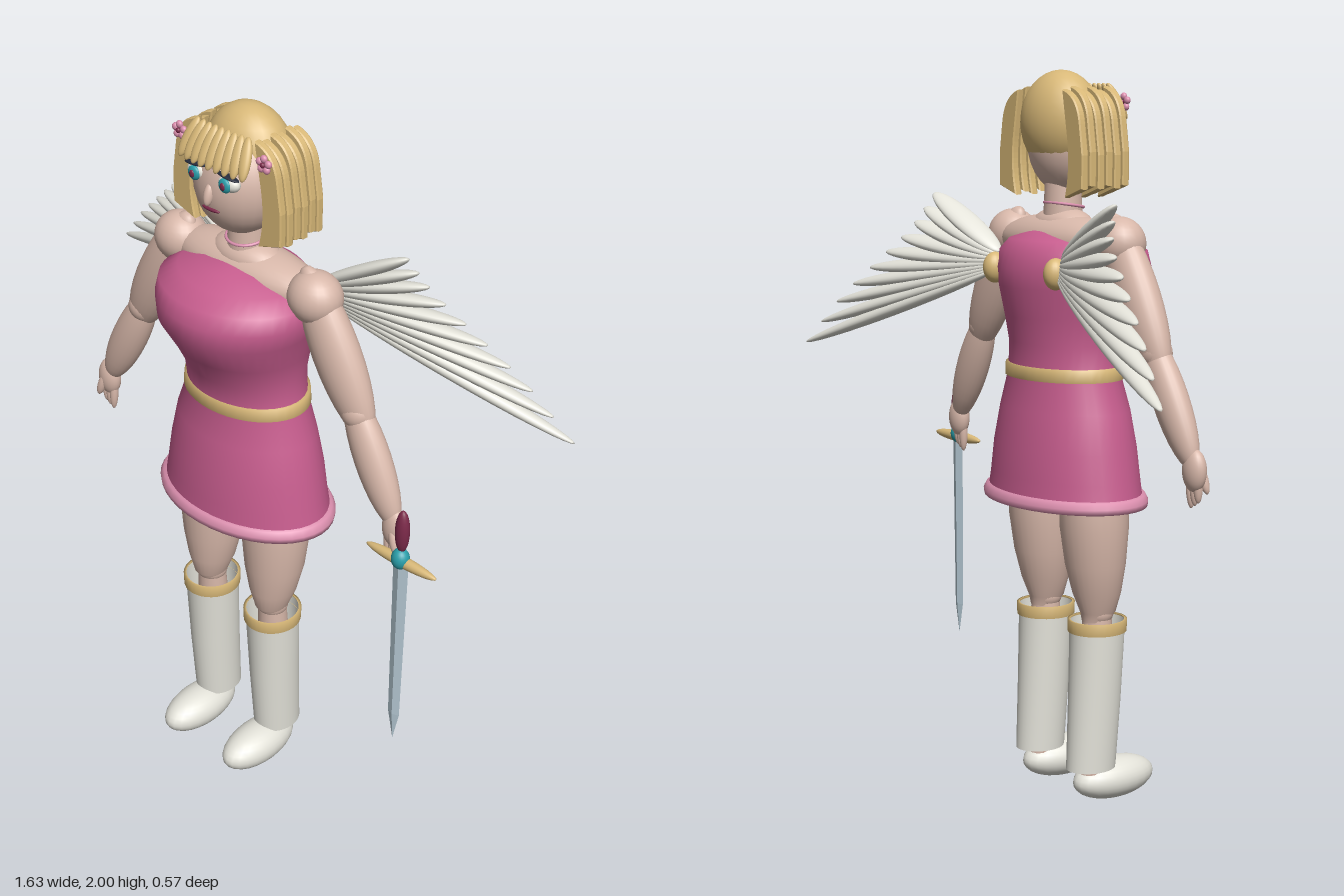
import * as THREE from 'three';

const mat = (name, color) => {
  const m = new THREE.MeshStandardMaterial({ color });
  m.name = name;
  return m;
};

export function createModel() {
  const skin = mat('skin', 0xd8b8aa), dressPink = mat('dress pink', 0xc75d8e);
  const palePink = mat('pale pink', 0xdb8fae), gold = mat('gold', 0xd8b878);
  const white = mat('white', 0xe3e2d9), teal = mat('teal', 0x2a9faa);
  const maroon = mat('maroon', 0x7c2a4a), steel = mat('steel', 0xb9cdd8);
  const dark = mat('dark', 0x252b3c);
  dressPink.side = white.side = gold.side = palePink.side = THREE.DoubleSide;

  const model = new THREE.Group();
  model.name = 'wingedWarrior';
  const ball = new THREE.SphereGeometry(1, 24, 16);

  const add = (name, geo, material, pos = [0, 0, 0]) => {
    const m = new THREE.Mesh(geo, material);
    m.name = name;
    m.position.set(...pos);
    model.add(m);
    return m;
  };
  const ellipsoid = (name, material, pos, radii) => {
    const m = add(name, ball, material, pos);
    m.scale.set(...radii);
    return m;
  };
  // Ellipsoid stretched from a to b; "side" is the direction of its width
  const stretch = (name, material, a, b, width, depth = width, side = [0, 0, 1]) => {
    const A = new THREE.Vector3(...a), B = new THREE.Vector3(...b);
    const Y = B.clone().sub(A), len = Y.length();
    Y.normalize();
    const X = new THREE.Vector3(...side);
    X.addScaledVector(Y, -X.dot(Y)).normalize();
    const Z = new THREE.Vector3().crossVectors(X, Y);
    const m = ellipsoid(name, material, A.add(B).multiplyScalar(0.5).toArray(), [width, len / 2, depth]);
    m.quaternion.setFromRotationMatrix(new THREE.Matrix4().makeBasis(X, Y, Z));
    return m;
  };
  // Elliptical rings, bottom to top: [y, half width, front z, back z, centre x]
  const loft = (rings, n = 40) => {
    const p = [], idx = [];
    rings.forEach(([y, rx, zf, zb, cx = 0], r) => {
      for (let i = 0; i < n; i++) {
        const a = (i / n) * Math.PI * 2;
        p.push(cx + rx * Math.sin(a), y, (zf + zb) / 2 + (zf - zb) / 2 * Math.cos(a));
        if (r) {
          const j = (i + 1) % n, k = (r - 1) * n, l = r * n;
          idx.push(k + i, k + j, l + j, k + i, l + j, l + i);
        }
      }
    });
    const g = new THREE.BufferGeometry();
    g.setAttribute('position', new THREE.Float32BufferAttribute(p, 3));
    g.setIndex(idx);
    g.computeVertexNormals();
    return g;
  };

  // Dress, hem and belt
  add('dress', loft([
    [0.86, 0.262, 0.228, -0.125], [0.92, 0.25, 0.224, -0.12], [1.0, 0.237, 0.218, -0.115],
    [1.1, 0.215, 0.203, -0.1], [1.2, 0.18, 0.182, -0.084], [1.28, 0.176, 0.198, -0.087],
    [1.35, 0.19, 0.235, -0.1], [1.43, 0.215, 0.283, -0.115], [1.48, 0.23, 0.278, -0.117],
    [1.525, 0.222, 0.265, -0.106], [1.555, 0.18, 0.215, -0.085], [1.58, 0.1, 0.17, -0.04],
    [1.59, 0.001, 0.09, 0.088]]), dressPink);
  add('hem', loft([[0.845, 0.255, 0.222, -0.118], [0.845, 0.276, 0.24, -0.136], [0.86, 0.278, 0.242, -0.138],
    [0.876, 0.268, 0.234, -0.13], [0.88, 0.25, 0.22, -0.118]]), palePink);
  add('belt', loft([[1.185, 0.18, 0.182, -0.082], [1.185, 0.19, 0.192, -0.093],
    [1.22, 0.186, 0.192, -0.093], [1.22, 0.17, 0.18, -0.08]]), gold);

  // Shoulders, neck and choker
  ellipsoid('upperChest', skin, [0, 1.55, 0.04], [0.25, 0.072, 0.09]);
  ellipsoid('neckBase', skin, [0, 1.59, 0.045], [0.11, 0.05, 0.065]);
  add('neck', new THREE.CylinderGeometry(0.048, 0.055, 0.16, 24), skin, [0, 1.65, 0.045]);
  const choker = add('choker', new THREE.TorusGeometry(0.053, 0.004, 8, 32), palePink, [0, 1.645, 0.048]);
  choker.rotation.x = Math.PI / 2 + 0.15;
  ellipsoid('hips', skin, [0, 0.9, 0.055], [0.2, 0.09, 0.12]);

  // Head and face
  ellipsoid('head', skin, [0, 1.81, 0.07], [0.122, 0.142, 0.114]);
  stretch('nose', skin, [0, 1.835, 0.172], [0, 1.775, 0.19], 0.013, 0.014, [1, 0, 0]);
  ellipsoid('mouth', maroon, [0, 1.762, 0.174], [0.03, 0.006, 0.008]);
  for (const s of [-1, 1]) {
    ellipsoid('eye', white, [s * 0.052, 1.845, 0.163], [0.034, 0.022, 0.02]);
    ellipsoid('iris', teal, [s * 0.052, 1.844, 0.179], [0.019, 0.019, 0.009]);
    ellipsoid('pupil', maroon, [s * 0.052, 1.844, 0.187], [0.008, 0.01, 0.004]);
    const lash = ellipsoid('lash', dark, [s * 0.054, 1.866, 0.17], [0.037, 0.005, 0.012]);
    lash.rotation.z = -s * 0.1;
  }

  // Hair: dome, fringe and side locks
  ellipsoid('hairDome', gold, [0, 1.863, 0.038], [0.126, 0.137, 0.098]);
  for (let i = -4; i <= 4; i++) {
    const x = i * 0.0245;
    stretch('fringe', gold, [x * 0.85, 1.965, 0.13 - 0.3 * x * x], [x * 1.08, 1.87, 0.187 - 1.2 * x * x], 0.017, 0.012, [1, 0, 0]);
  }
  const lock = new THREE.Shape();
  lock.moveTo(0.1, 1.945);
  lock.quadraticCurveTo(0.16, 1.93, 0.17, 1.86);
  lock.lineTo(0.182, 1.78);
  lock.lineTo(0.181, 1.695);
  lock.lineTo(0.112, 1.672);
  lock.quadraticCurveTo(0.135, 1.75, 0.118, 1.84);
  const lockGeo = new THREE.ExtrudeGeometry(lock, {
    depth: 0.014, bevelEnabled: true, bevelSize: 0.003, bevelThickness: 0.004, bevelSegments: 1 });
  lockGeo.translate(0, 0, -0.007);
  for (const s of [-1, 1]) {
    for (let i = 0; i < 6; i++) {
      const m = add('sideLock', lockGeo, gold, [0, (i % 2) * 0.008, -0.022 + i * 0.027]);
      if (s < 0) m.rotation.y = Math.PI, m.position.z = -0.022 + i * 0.027;
    }
    // Hair flowers
    for (let k = 0; k < 5; k++) {
      const a = k * Math.PI * 0.4 + 0.3;
      ellipsoid('petal', palePink, [s * 0.142 + 0.015 * Math.cos(a), 1.915 + 0.015 * Math.sin(a), 0.137], [0.01, 0.01, 0.008]);
    }
    ellipsoid('flowerCentre', maroon, [s * 0.142, 1.915, 0.142], [0.007, 0.007, 0.006]);
  }

  for (const s of [-1, 1]) {
    // Arms
    ellipsoid('shoulder', skin, [s * 0.235, 1.555, 0.05], [0.075, 0.07, 0.068]);
    stretch('upperArm', skin, [s * 0.2, 1.63, 0.05], [s * 0.42, 1.215, 0.05], 0.054, 0.07);
    ellipsoid('elbow', skin, [s * 0.385, 1.285, 0.052], [0.046, 0.046, 0.042]);
    stretch('forearm', skin, [s * 0.355, 1.34, 0.05], [s * 0.53, 1.0, 0.06], 0.043, 0.053);
    ellipsoid('wrist', skin, [s * 0.505, 1.055, 0.06], [0.028, 0.035, 0.026]);
    ellipsoid('palm', skin, [s * 0.53, 1.0, 0.062], [0.037, 0.056, 0.027]);
    for (let f = 0; f < 3; f++) {
      stretch('finger', skin, [s * (0.51 + f * 0.016), 1.0, 0.064], [s * (0.515 + f * 0.013), 0.9 + f * 0.008, 0.066], 0.012);
    }
    stretch('thumb', skin, [s * 0.53, 1.02, 0.075], [s * 0.555, 0.94, 0.085], 0.013);

    // Legs
    const c = s * 0.118;
    add('thigh', loft([[0.52, 0.035, 0.11, 0.03, c], [0.545, 0.045, 0.128, 0.026, c], [0.6, 0.066, 0.14, 0.005, c],
      [0.68, 0.084, 0.15, -0.015, c], [0.78, 0.094, 0.157, -0.03, c], [0.88, 0.093, 0.157, -0.035, c],
      [0.96, 0.075, 0.14, -0.02, c]], 28), skin);
    ellipsoid('knee', skin, [s * 0.118, 0.545, 0.075], [0.045, 0.042, 0.045]);
    add('shin', loft([[0.07, 0.034, 0.085, 0.02, c], [0.3, 0.05, 0.115, 0.015, c], [0.53, 0.04, 0.115, 0.035, c]], 20), skin);
    add('boot', loft([[0.105, 0.06, 0.127, -0.018, c], [0.3, 0.066, 0.142, -0.01, c],
      [0.52, 0.074, 0.153, -0.002, c]], 32), white);
    add('bootCuff', loft([[0.492, 0.074, 0.152, -0.002, c], [0.492, 0.079, 0.157, -0.007, c],
      [0.525, 0.08, 0.158, -0.008, c], [0.525, 0.072, 0.15, 0, c]], 32), gold);
    ellipsoid('foot', white, [c, 0.062, 0.134], [0.067, 0.058, 0.132]);

    // Wings: a fan of feathers from a gold joint
    ellipsoid('wingJoint', gold, [s * 0.137, 1.475, -0.082], [0.03, 0.042, 0.034]);
    const tips = new THREE.CatmullRomCurve3([[0.405, 1.665, -0.1], [0.45, 1.575, -0.145],
      [0.56, 1.475, -0.19], [0.69, 1.36, -0.24], [0.815, 1.22, -0.286]].map(p => new THREE.Vector3(...p)));
    for (let i = 0; i < 10; i++) {
      const t = i / 9, e = tips.getPoint(t);
      stretch('feather', white, [s * 0.145, 1.515 - 0.05 * t, -0.06 - 0.02 * t], [s * e.x, e.y, e.z],
        0.038 - 0.01 * t, 0.019, [0, 0.3, 1]);
    }
  }

  // Sword
  const bladeGeo = new THREE.LatheGeometry([[0, 0.33], [0.019, 0.42], [0.025, 0.93], [0, 0.93]]
    .map(([x, y]) => new THREE.Vector2(x, y)), 4).toNonIndexed();
  bladeGeo.computeVertexNormals();
  const blade = add('blade', bladeGeo, steel, [0.575, 0, 0.087]);
  blade.scale.z = 0.4;
  stretch('guard', gold, [0.46, 0.933, 0.087], [0.69, 0.933, 0.087], 0.016);
  ellipsoid('gem', teal, [0.575, 0.942, 0.09], [0.025, 0.03, 0.024]);
  ellipsoid('grip', maroon, [0.575, 1.025, 0.087], [0.02, 0.064, 0.018]);

  return model;
}
